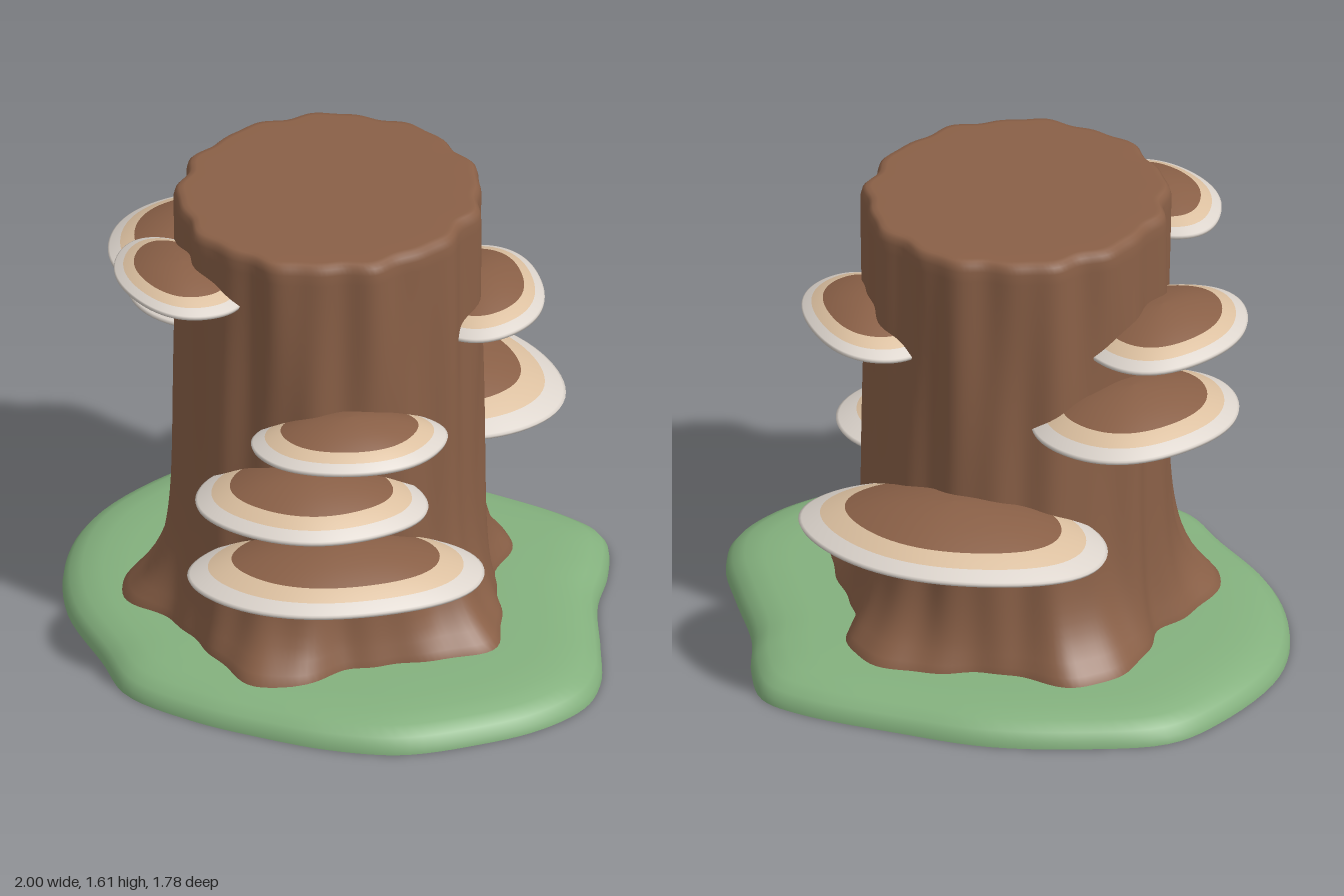
import * as THREE from 'three';

const brown = new THREE.MeshStandardMaterial({ color: 0x8a6047 });
brown.name = 'bark brown';
const tan = new THREE.MeshStandardMaterial({ color: 0xdcc0a0 });
tan.name = 'tan band';
const cream = new THREE.MeshStandardMaterial({ color: 0xdcd4cc });
cream.name = 'pale cream';
const green = new THREE.MeshStandardMaterial({ color: 0x84b17e });
green.name = 'grass green';

// Joins rings of n points, given from the top centre outwards and down.
// rowMaterials optionally gives a material index for each band between rings.
function loft(rows, n, point, rowMaterials) {
  const pos = [], idx = [];
  const geo = new THREE.BufferGeometry();
  rows.forEach((row) => {
    for (let j = 0; j < n; j++) pos.push(...point(row, (j / n) * Math.PI * 2, j / n));
  });
  for (let i = 0; i < rows.length - 1; i++) {
    for (let j = 0; j < n; j++) {
      const k = (j + 1) % n;
      const a = i * n + j, c = i * n + k, b = a + n, d = c + n;
      idx.push(a, c, b, c, d, b);
    }
    if (rowMaterials) geo.addGroup(i * n * 6, n * 6, rowMaterials[i]);
  }
  geo.setAttribute('position', new THREE.Float32BufferAttribute(pos, 3));
  geo.setIndex(idx);
  geo.computeVertexNormals();
  return geo;
}

function named(name, geo, material) {
  const mesh = new THREE.Mesh(geo, material);
  mesh.name = name;
  return mesh;
}

// Grass mound: an irregular outline with a rounded rim and flat bottom
function grass() {
  const outline = [
    [1, 0.12], [0.95, 0.32], [0.82, 0.52], [0.65, 0.7], [0.43, 0.8], [0.2, 0.85], [-0.05, 0.88],
    [-0.32, 0.855], [-0.5, 0.72], [-0.76, 0.52], [-0.93, 0.27], [-1, 0], [-0.95, -0.33],
    [-0.85, -0.54], [-0.6, -0.69], [-0.3, -0.8], [0, -0.83], [0.35, -0.84], [0.5, -0.8],
    [0.61, -0.64], [0.69, -0.45], [0.84, -0.23], [0.96, -0.04],
  ].map(([x, z]) => new THREE.Vector3(x, 0, z));
  const curve = new THREE.CatmullRomCurve3(outline, true);
  const rows = [[0, 0.1], [0.5, 0.102], [0.76, 0.1], [0.86, 0.092], [0.93, 0.077], [0.975, 0.052],
    [0.996, 0.025], [1, 0], [1, 0], [0, 0]];
  return named('grassMound', loft(rows, 120, ([s, y], a, u) => {
    const p = curve.getPoint(u);
    return [p.x * s, y, p.z * s];
  }), green);
}

// Trunk: wavy bark ridges, with five roots flaring out at the foot
function trunk() {
  const rows = [[1.61, 0], [1.61, 0.8], [1.61, 0.93], [1.608, 0.965], [1.597, 0.988], [1.575, 1]];
  for (let i = 1; i <= 40; i++) rows.push([1.575 - 1.525 * (i / 40), 1]);
  return named('trunk', loft(rows, 180, ([y, s], a) => {
    const bark = 0.009 * Math.sin(11 * a + 0.9 * Math.sin(2.5 * y) + Math.sin(2 * a))
      + 0.006 * Math.sin(19 * a - 0.7 * Math.sin(3 * y));
    const lobe = Math.pow(0.5 + 0.5 * Math.cos(5 * (a - 0.09)), 1.2);
    const flare = Math.exp(-Math.max(y - 0.1, 0) / 0.14) * (0.05 + 0.135 * lobe);
    const r = bark + flare;
    return [-0.05 + (0.5 + r) * s * Math.cos(a), y, 0.035 + (0.513 + r) * s * Math.sin(a)];
  }), brown);
}

// Shelf fungus: domed oval with brown top, tan band, pale rim and underside
function shelf(name, x, y, z, azimuth, halfWidth, halfDepth, height, phase) {
  const ts = [0, 0.15, 0.3, 0.45, 0.58, 0.7, 0.78, 0.86, 0.93, 0.98, 1];
  const rows = ts.map((t) => [t, height * (1 - Math.pow(t, 1.9))]);
  rows.push([0.99, -0.01], [0.96, -0.011], [0.96, -0.011], [0.6, -0.002], [0, 0.005]);
  const bands = rows.slice(1).map((_, i) => (i < 5 ? 0 : i < 7 ? 1 : 2));
  const geo = loft(rows, 72, ([t, h], a) => {
    const s = t * (1 + 0.015 * Math.sin(3 * a + phase) + 0.01 * Math.sin(5 * a + 2 * phase));
    return [halfDepth * s * Math.cos(a), h, halfWidth * s * Math.sin(a)];
  }, bands);
  const mesh = named(name, geo, [brown, tan, cream]);
  mesh.position.set(x, y, z);
  // local +x points away from the trunk and tips up slightly
  mesh.rotation.set(0, -THREE.MathUtils.degToRad(azimuth), 0.05, 'YXZ');
  return mesh;
}

export function createModel() {
  const group = new THREE.Group();
  group.name = 'treeStump';
  group.add(grass(), trunk());
  [
    ['frontShelfLow', 0.27, 0.478, 0.505, 56, 0.49, 0.31, 0.12, 0],
    ['frontShelfMiddle', 0.19, 0.738, 0.53, 64, 0.385, 0.29, 0.112, 1],
    ['frontShelfHigh', 0.3, 0.968, 0.46, 50, 0.325, 0.23, 0.093, 2],
    ['frontShelfTop', -0.34, 1.412, 0.5, 122, 0.28, 0.2, 0.07, 3],
    ['sideShelfHigh', -0.59, 1.228, 0.01, 182, 0.32, 0.265, 0.092, 4],
    ['sideShelfLow', -0.57, 1.0, -0.19, 203, 0.36, 0.325, 0.11, 5],
    ['backShelfHigh', 0.35, 1.197, -0.25, -35, 0.31, 0.22, 0.083, 6],
    ['backShelfLow', -0.07, 0.617, -0.545, -92, 0.53, 0.35, 0.125, 0.5],
  ].forEach((s) => group.add(shelf(...s)));
  return group;
}
